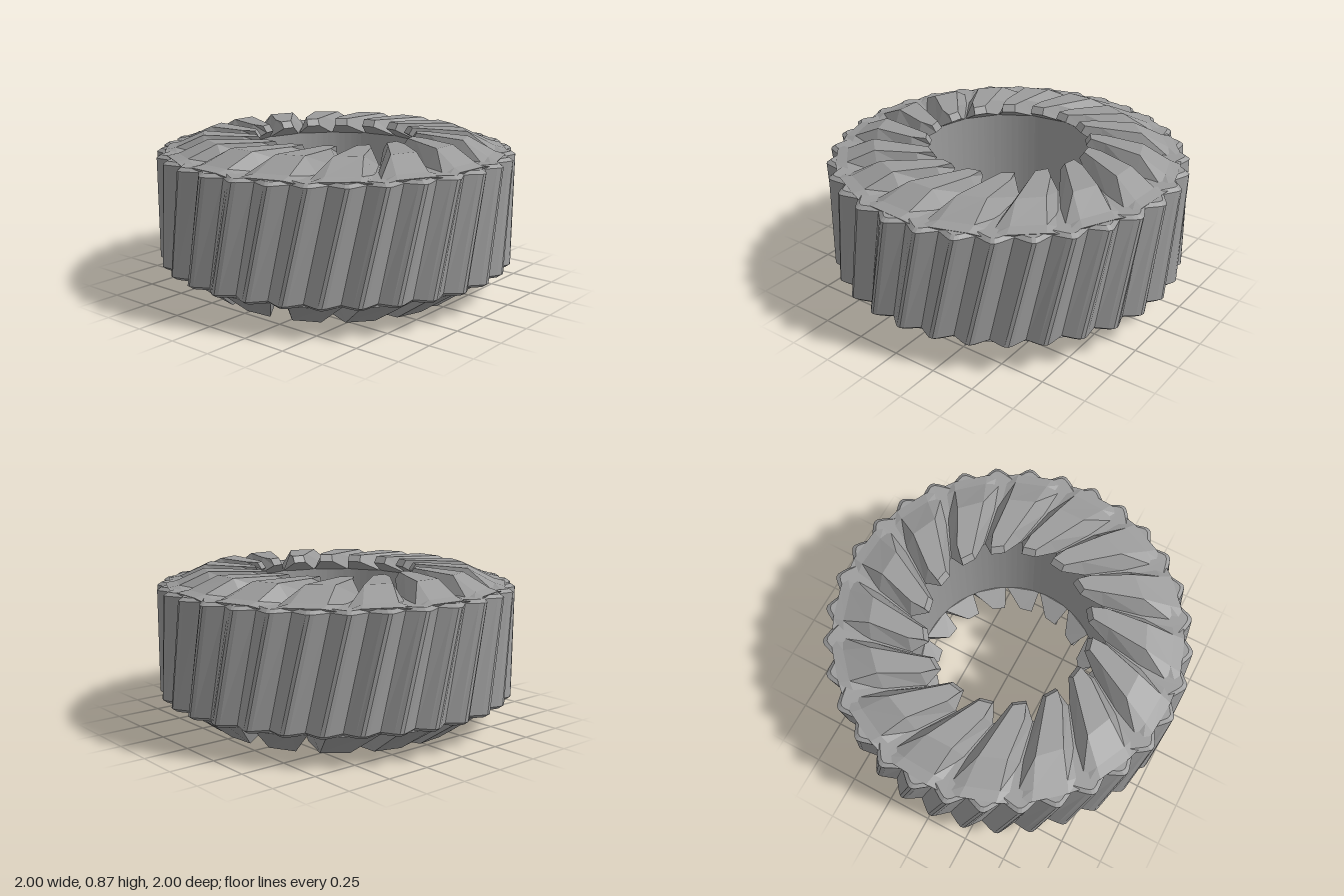
import * as THREE from 'three';

const DEG = Math.PI / 180;
const material = new THREE.MeshStandardMaterial({ color: 0x9c9c9c, flatShading: true });

// Point on the gear: radius, angle (0 = front, positive towards +x), height.
const polar = (r, deg, y) => [r * Math.sin(deg * DEG), y, r * Math.cos(deg * DEG)];

// Skin a list of closed loops; either join the last loop to the first, or cap both ends.
function skin(loops, closed) {
  const n = loops[0].length;
  const positions = loops.flat(2);
  const index = [];
  const steps = closed ? loops.length : loops.length - 1;
  for (let i = 0; i < steps; i++) {
    const lo = i * n, hi = ((i + 1) % loops.length) * n;
    for (let j = 0; j < n; j++) {
      const k = (j + 1) % n;
      index.push(lo + j, lo + k, hi + k, lo + j, hi + k, hi + j);
    }
  }
  if (!closed) {
    const end = (loops.length - 1) * n;
    for (let j = 1; j < n - 1; j++) {
      index.push(0, j + 1, j, end, end + j, end + j + 1);
    }
  }
  const geometry = new THREE.BufferGeometry();
  geometry.setAttribute('position', new THREE.Float32BufferAttribute(positions, 3));
  geometry.setIndex(index);
  const flat = geometry.toNonIndexed();
  flat.computeVertexNormals();
  return flat;
}

// Ring body: plain bore inside, 32 slanted teeth outside with bevelled ends.
function helicalBody() {
  const teeth = 32, pitch = 360 / teeth, twist = 7.5;
  // one tooth: [fraction of pitch, radius]
  const profile = [[0, 0.938], [0.3, 0.982], [0.42, 0.998], [0.52, 1], [0.62, 0.99]];
  const ring = (y, angle, radius) => {
    const loop = [];
    for (let t = 0; t < teeth; t++) {
      for (const [f, r] of profile) loop.push(polar(radius(r), (t + f) * pitch + angle, y));
    }
    return loop;
  };
  const bevel = r => r - 0.025;
  const full = r => r;
  const bore = () => 0.53;
  return skin([
    ring(0.13, 0, bore),
    ring(0.157, -twist / 2, bevel),
    ring(0.175, -twist / 2, full),
    ring(0.77, twist / 2, full),
    ring(0.787, twist / 2, bevel),
    ring(0.778, 0, bore),
  ], true);
}

// Crown tooth stations:
// [base radius, crest radius, centre angle, base half angle, crest half angle, base y, crest y]
function crownTooth(stations, faceDown) {
  return skin(stations.map(([r0, r1, mid, base, crest, y0, y1]) => {
    const loop = [
      polar(r0, mid - base, y0), polar(r0, mid + base, y0),
      polar(r1, mid + crest, y1), polar(r1, mid - crest, y1),
    ];
    return faceDown ? loop.reverse() : loop;
  }), false);
}

const upperStations = [
  [0.43, 0.455, 13, 5, 4.5, 0.835, 0.873],
  [0.535, 0.535, 8.5, 11, 6, 0.775, 0.873],
  [0.74, 0.74, -0.5, 11, 5.8, 0.775, 0.873],
  [0.89, 0.89, -3, 11, 5.8, 0.775, 0.803],
  [0.95, 0.95, -4, 11, 5.8, 0.775, 0.79],
];

// The lower teeth skew the opposite way as seen from above.
const lowerStations = [
  [0.43, 0.455, 13, 5, 4.5, 0.05, 0],
  [0.535, 0.535, 18, 11, 6, 0.14, 0],
  [0.715, 0.715, 27.5, 11, 6.2, 0.155, 0],
  [0.93, 0.93, 31, 11, 6, 0.165, 0.154],
];

export function createModel() {
  const model = new THREE.Group();
  model.name = 'crownGear';

  const body = new THREE.Mesh(helicalBody(), material);
  body.name = 'helicalGearBody';
  model.add(body);

  // Sixteen skewed teeth on each end face
  const count = 16;
  const crowns = [
    ['upperCrown', crownTooth(upperStations, false)],
    ['lowerCrown', crownTooth(lowerStations, true)],
  ];
  for (const [name, geometry] of crowns) {
    const crown = new THREE.Group();
    crown.name = name;
    for (let i = 0; i < count; i++) {
      const tooth = new THREE.Mesh(geometry, material);
      tooth.name = `${name}Tooth`;
      tooth.rotation.y = (i / count) * Math.PI * 2;
      crown.add(tooth);
    }
    model.add(crown);
  }
  return model;
}
